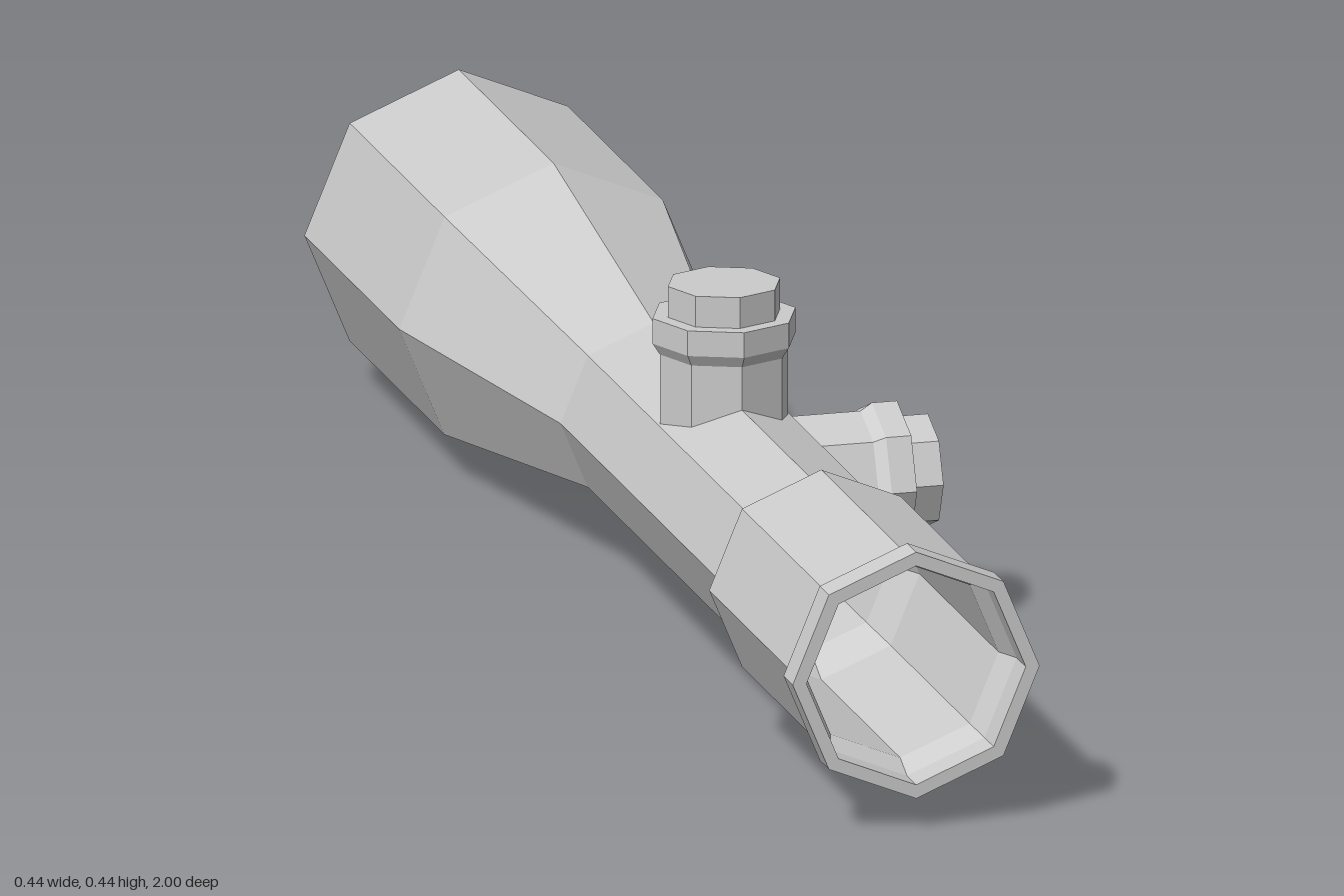
import * as THREE from 'three';

const SIDES = 8;
const AXIS_X = -0.03, AXIS_Y = 0.19; // centre line of the tube
const WALL = 0.017;

const material = new THREE.MeshStandardMaterial({ color: 0xcccccc, flatShading: true });

function lathe(profile) {
  return new THREE.LatheGeometry(profile.map(([r, h]) => new THREE.Vector2(r, h)), SIDES);
}

function addMesh(parent, geometry, name) {
  const mesh = new THREE.Mesh(geometry, material);
  mesh.name = name;
  parent.add(mesh);
  return mesh;
}

// Hollow octagonal body: outer profile, then the same profile back along the inside
function bodyGeometry() {
  const outer = [
    [0.19, -1], [0.19, -0.585], [0.115, -0.147], [0.115, 0.537],
    [0.138, 0.585], [0.138, 0.93], [0.152, 0.96], [0.152, 1],
  ];
  const inner = outer.map(([r, z]) => [r - WALL, z]).reverse();
  return lathe([...outer, ...inner, outer[0]]).rotateX(Math.PI / 2);
}

// Adjustment turret; heights are measured from the tube's centre line
function turret(name) {
  const group = new THREE.Group();
  group.name = name;

  const neck = lathe([[0.079, 0], [0.079, 0.168]]);
  // Seat the lower edge within the wall of the octagonal tube
  const p = neck.attributes.position;
  const slope = Math.tan(Math.PI / 8);
  for (let i = 0; i < p.count; i++) {
    if (p.getY(i) < 0.01) p.setY(i, 0.107 - slope * Math.abs(p.getX(i)));
  }
  addMesh(group, neck, 'turretNeck');
  addMesh(group, lathe([[0.079, 0.168], [0.088, 0.182], [0.088, 0.213], [0.069, 0.213]]), 'turretCollar');
  addMesh(group, lathe([[0.069, 0.213], [0.069, 0.251], [0, 0.251]]), 'turretCap');

  group.position.z = 0.16;
  return group;
}

export function createModel() {
  const model = new THREE.Group();
  model.name = 'scope';

  addMesh(model, bodyGeometry(), 'scopeTube');

  // One turret on top, an identical one on the left side
  const side = turret('sideTurret');
  side.rotation.z = -Math.PI / 2;
  model.add(turret('topTurret'), side);

  model.position.set(AXIS_X, AXIS_Y, 0);
  return model;
}
